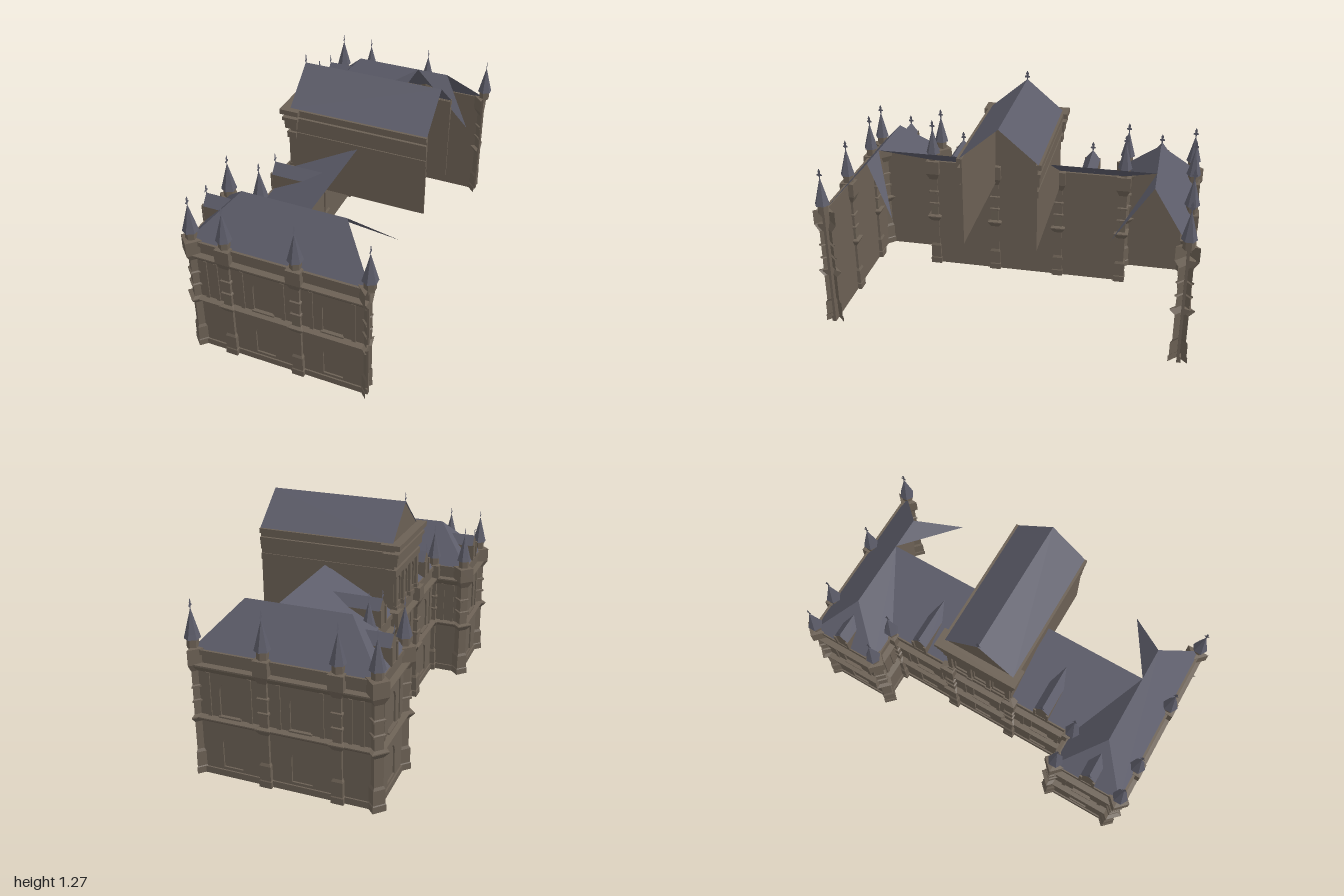
import * as THREE from 'three';

const stone = new THREE.MeshStandardMaterial({ color: 0x6b6054, side: THREE.DoubleSide });
stone.name = 'brown stone';
const slate = new THREE.MeshStandardMaterial({ color: 0x5c5c69, side: THREE.DoubleSide });
slate.name = 'grey slate';

function add(parent, name, geo, mat, x = 0, y = 0, z = 0) {
  const m = new THREE.Mesh(geo, mat);
  m.name = name;
  m.position.set(x, y, z);
  parent.add(m);
  return m;
}

// Box given by its minimum and maximum corners
function block(parent, name, x0, x1, y0, y1, z0, z1) {
  return add(parent, name, new THREE.BoxGeometry(Math.abs(x1 - x0), y1 - y0, Math.abs(z1 - z0)),
    stone, (x0 + x1) / 2, (y0 + y1) / 2, (z0 + z1) / 2);
}

// Flat polygon from corner points
function poly(parent, name, pts, mat) {
  const pos = [];
  for (let i = 1; i < pts.length - 1; i++) pos.push(...pts[0], ...pts[i], ...pts[i + 1]);
  const g = new THREE.BufferGeometry();
  g.setAttribute('position', new THREE.Float32BufferAttribute(pos, 3));
  g.computeVertexNormals();
  return add(parent, name, g, mat);
}

// Faceted turned form
function facet(profile, sides, start = 0, length = Math.PI * 2, k = 1) {
  const pts = profile.map(([r, y]) => new THREE.Vector2(r * k, y));
  const g = new THREE.LatheGeometry(pts, sides, start, length).toNonIndexed();
  g.computeVertexNormals();
  return g;
}

function archPath(path, cx, hw, y0, top) {
  path.moveTo(cx - hw, y0);
  path.lineTo(cx + hw, y0);
  path.lineTo(cx + hw, top - hw);
  path.absarc(cx, top - hw, hw, 0, Math.PI, false);
  path.lineTo(cx - hw, y0);
  return path;
}

// Wall panel with arched recesses, outer face at z = 0
function panel(parent, w, y0, y1, arches) {
  const s = new THREE.Shape();
  s.moveTo(-w / 2, y0);
  s.lineTo(w / 2, y0);
  s.lineTo(w / 2, y1);
  s.lineTo(-w / 2, y1);
  for (const a of arches) s.holes.push(archPath(new THREE.Path(), ...a));
  const g = new THREE.ExtrudeGeometry(s, { depth: 0.01, bevelEnabled: false, curveSegments: 8 });
  add(parent, 'wall', g, stone, 0, 0, -0.01);
  block(parent, 'wallBacking', -w / 2, w / 2, y0, y1, -0.014, -0.009);
}

// Horizontal moulding from an [outward, height] profile
function moulding(parent, name, w, profile) {
  const s = new THREE.Shape(profile.map(([o, y]) => new THREE.Vector2(o, y)));
  const g = new THREE.ExtrudeGeometry(s, { depth: w, bevelEnabled: false });
  g.rotateY(-Math.PI / 2);
  add(parent, name, g, stone, w / 2);
}

const LOWER = [[0, 0.295], [0.01, 0.3], [0.032, 0.32], [0.032, 0.326], [0, 0.332]];
const UPPER = [[0, 0.565], [0.012, 0.575], [0.032, 0.6], [0.032, 0.608], [0, 0.612]];

// Two-storey bay facing local +z
function bay(parent, w, x, z, turn, windowed = true) {
  const g = new THREE.Group();
  g.name = 'wallBay';
  g.position.set(x, 0, z);
  g.rotation.y = turn;
  parent.add(g);
  panel(g, w, 0, 0.68, windowed ? [[0, 0.053, 0.05, 0.23], [0, 0.053, 0.34, 0.525]] : []);
  block(g, 'plinth', -w / 2, w / 2, 0, 0.035, 0, 0.008);
  moulding(g, 'floorCornice', w, LOWER);
  moulding(g, 'eavesCornice', w, UPPER);
  block(g, 'eavesBand', -w / 2, w / 2, 0.655, 0.68, 0, 0.008);
  const e = windowed ? 0.1 : 0.02;
  for (const s of [-1, 1]) block(g, 'pilasterStrip', s * e, s * (e + 0.02), 0.33, 0.566, 0, 0.006);
  if (windowed) block(g, 'windowSill', -0.06, 0.06, 0.332, 0.34, 0, 0.01);
}

const PIER = [[0.05, 0], [0.05, 0.035], [0.045, 0.04], [0.045, 0.12], [0.035, 0.135], [0.035, 0.29],
  [0.063, 0.32], [0.063, 0.326], [0.035, 0.332], [0.034, 0.396], [0.045, 0.4], [0.045, 0.41],
  [0.034, 0.414], [0.034, 0.474], [0.045, 0.478], [0.045, 0.488], [0.034, 0.492], [0.034, 0.565],
  [0.06, 0.605], [0.06, 0.685], [0, 0.69]];

// Flat leafy finial standing in the y-z plane
function finial(parent, x, y, z) {
  const half = [[0.003, 0], [0.004, 0.018], [0.014, 0.02], [0.014, 0.028], [0.005, 0.032],
    [0.008, 0.042], [0, 0.06]];
  const pts = [...half, ...half.slice(0, -1).reverse().map(([a, b]) => [-a, b])];
  const s = new THREE.Shape(pts.map(([a, b]) => new THREE.Vector2(a, b)));
  add(parent, 'finial', new THREE.ShapeGeometry(s), slate, x, y, z).rotation.y = Math.PI / 2;
}

// Pier with a spire: 'corner' is a diamond, 'flat' a square, 'half' a cut diamond
function pier(parent, kind, x, z, spire = true) {
  const g = new THREE.Group();
  g.name = kind + 'Pier';
  g.position.set(x, 0, z);
  parent.add(g);
  const geo = kind === 'half' ? facet(PIER, 2, Math.PI, Math.PI)
    : kind === 'flat' ? facet(PIER, 4, Math.PI / 4, Math.PI * 2, 0.65 * Math.SQRT2)
      : facet(PIER, 4);
  add(g, 'shaft', geo, stone);
  if (!spire) return;
  add(g, 'spireNeck', facet([[0.03, 0.68], [0.03, 0.73]], 6), stone);
  add(g, 'spire', facet([[0, 0.728], [0.041, 0.73], [0.034, 0.755], [0, 0.885]], 6), slate);
  finial(g, 0, 0.872, 0);
}

// Dormer facing -x, dying into the roof behind
function dormer(parent, xf, z, xe, xr) {
  const g = new THREE.Group();
  g.name = 'dormer';
  parent.add(g);
  const h = 0.042;
  poly(g, 'dormerGable', [[xf, 0.68, z - h], [xf, 0.68, z + h], [xf, 0.77, z + h],
    [xf, 0.825, z], [xf, 0.77, z - h]], stone);
  for (const s of [-1, 1]) {
    poly(g, 'dormerCheek', [[xf, 0.68, z + s * h], [xe, 0.77, z + s * h], [xf, 0.77, z + s * h]], stone);
    poly(g, 'dormerRoof', [[xf, 0.77, z + s * h], [xe, 0.77, z + s * h], [xr, 0.825, z], [xf, 0.825, z]], slate);
    block(g, 'dormerPost', xf - 0.008, xf, 0.68, 0.775, z + s * (h - 0.012), z + s * (h + 0.002));
  }
  finial(g, xf, 0.815, z);
}

// Projecting end wing and its side of the connecting range, s = side of z
function wing(root, s) {
  const g = new THREE.Group();
  g.name = s > 0 ? 'frontWing' : 'backWing';
  root.add(g);
  const out = s > 0 ? 0 : Math.PI;
  bay(g, 0.37, -0.085, s * 0.945, out);
  bay(g, 0.37, 0.285, s * 0.945, out);
  bay(g, 0.19, -0.365, s * 0.945, out, false);
  bay(g, 0.385, -0.468, s * 0.75, -Math.PI / 2);
  bay(g, 0.18, -0.37, s * 0.56, Math.PI - out, false);
  bay(g, 0.37, -0.28, s * 0.375, -Math.PI / 2);
  pier(g, 'corner', -0.46, s * 0.935);
  pier(g, 'corner', -0.46, s * 0.56);
  pier(g, 'flat', -0.275, s * 0.94);
  pier(g, 'flat', 0.1, s * 0.94);
  pier(g, 'half', 0.47, s * 0.935);
  pier(g, 'flat', -0.28, s * 0.56);
  pier(g, 'flat', -0.28, s * 0.19, false);
  const E = 0.68, R = 0.89, a = s * 0.94, r = s * 0.75, i = s * 0.56;
  poly(g, 'outerRoof', [[-0.47, E, a], [0.47, E, a], [0.28, R, r], [-0.27, R, r]], slate);
  poly(g, 'hipRoof', [[-0.47, E, a], [-0.27, R, r], [-0.47, E, i]], slate);
  poly(g, 'innerRoof', [[-0.47, E, i], [-0.28, E, i], [0.1, R, r], [-0.27, R, r]], slate);
  poly(g, 'rearRoofPoint', [[0.1, R, r], [0.28, R, r], [0.47, E, i]], slate);
  poly(g, 'rangeRoof', [[-0.28, E, s * 0.19], [-0.28, E, i], [0.1, R, r], [0.1, R, s * 0.19]], slate);
  dormer(g, -0.472, r, -0.385, -0.332);
  dormer(g, -0.285, s * 0.375, -0.117, -0.018);
}

// Tall central hall, open at the rear and below
function hall(root) {
  const g = new THREE.Group();
  g.name = 'centralHall';
  root.add(g);
  bay(g, 0.38, -0.28, 0, -Math.PI / 2);
  const front = new THREE.Group();
  front.name = 'hallFront';
  front.position.x = -0.28;
  front.rotation.y = -Math.PI / 2;
  g.add(front);
  panel(front, 0.38, 0.68, 1.05, [-0.115, 0, 0.115].map((c) => [c, 0.036, 0.705, 0.85]));
  for (const c of [-0.175, -0.0575, 0.0575, 0.175]) {
    block(front, 'hallPilaster', c - 0.012, c + 0.012, 0.69, 0.88, 0, 0.014);
    block(front, 'hallPilasterBase', c - 0.017, c + 0.017, 0.68, 0.705, 0, 0.02);
  }
  // Stepped entablature: front, short returns, shallow side runs
  for (const [y0, y1, o] of [[0.875, 0.91, 0.016], [0.935, 0.985, 0.024], [0.985, 1.003, 0.034], [1.025, 1.052, 0.042]]) {
    block(g, 'frontEntablature', -0.28 - o, -0.272, y0, y1, -0.19 - o, 0.19 + o);
    for (const s of [-1, 1]) {
      block(g, 'entablatureReturn', -0.275, -0.26 + o, y0, y1, s * 0.19, s * (0.19 + o));
      block(g, 'sideEntablature', -0.275, 0.47, y0, y1, s * 0.19, s * (0.19 + o * 0.5));
    }
  }
  poly(g, 'hallGable', [[-0.27, 1.05, -0.2], [-0.27, 1.05, 0.2], [-0.27, 1.215, 0]], stone);
  for (const s of [-1, 1]) {
    block(g, 'hallSideWall', -0.28, 0.47, 0.58, 1.05, s * 0.183, s * 0.192);
    poly(g, 'hallRoof', [[-0.275, 1.05, s * 0.2], [0.47, 1.05, s * 0.2], [0.47, 1.22, 0], [-0.275, 1.22, 0]], slate);
  }
  finial(g, -0.273, 1.21, 0);
}

export function createModel() {
  const root = new THREE.Group();
  root.name = 'building';
  for (const s of [-1, 1]) wing(root, s);
  hall(root);
  return root;
}
